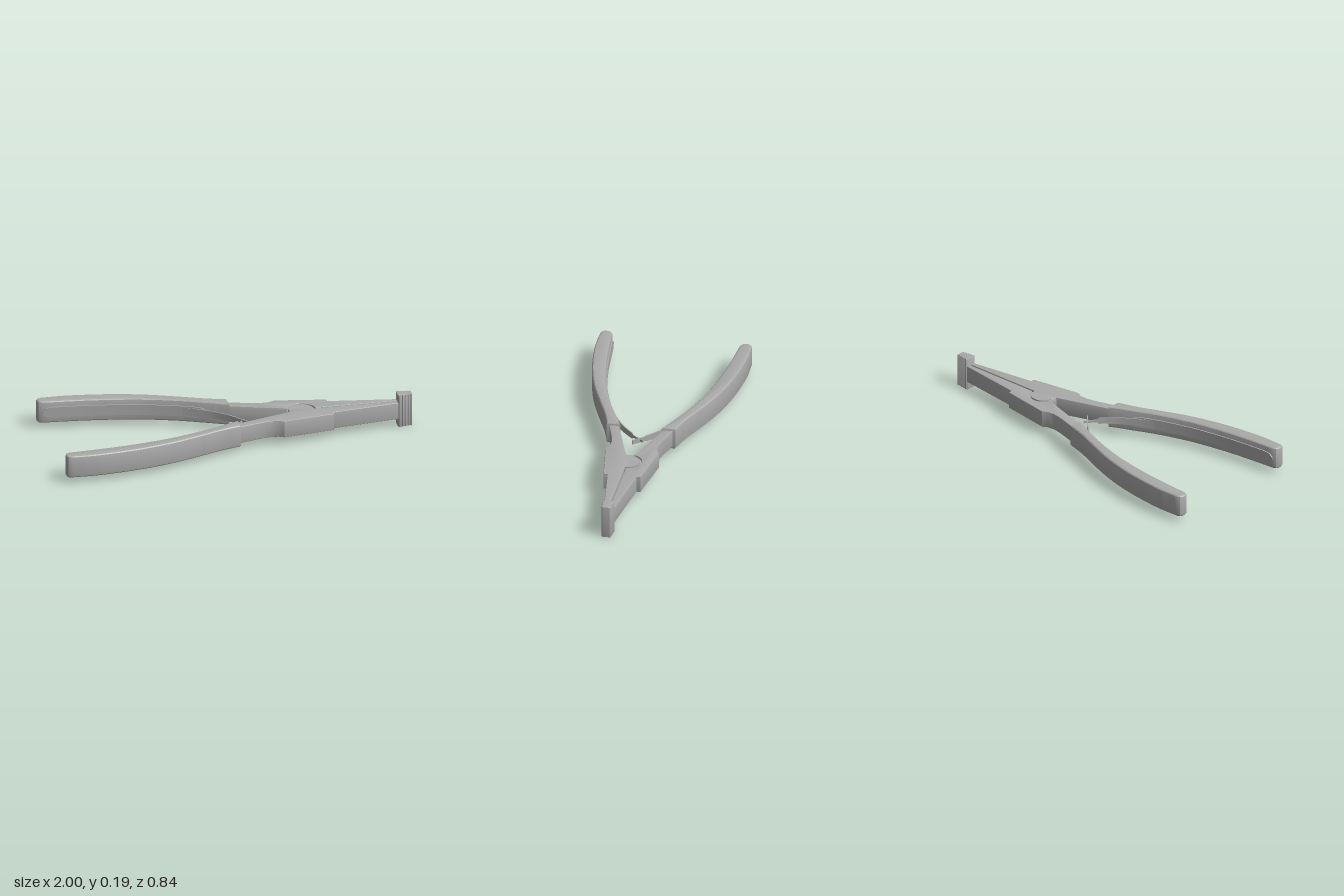
import * as THREE from 'three';
import { toCreasedNormals } from 'three/addons/utils/BufferGeometryUtils.js';

const MID = 0.0925; // height of the plane of symmetry
const PIVOT = { x: 0.39, r: 0.077 };

const vecs = (pts, s) => pts.map(([x, z]) => new THREE.Vector2(x, z * s));

// Extrude an x/z outline vertically about the mid plane, with softened edges
function slab(outline, height, bevel, crease = 0.5) {
  const g = new THREE.ExtrudeGeometry(new THREE.Shape(outline), {
    depth: height - 2 * bevel, bevelEnabled: true, bevelThickness: bevel,
    bevelSize: bevel, bevelOffset: -bevel, bevelSegments: 3,
  });
  g.translate(0, 0, bevel - height / 2);
  g.rotateX(Math.PI / 2);
  g.translate(0, MID, 0);
  return toCreasedNormals(g, crease);
}

// Thin strip that follows an x/z curve; width(u) is its vertical size
function ribbon(curve, thickness, width) {
  const g = new THREE.BoxGeometry(1, 1, 1, 48, 1, 1);
  const p = g.attributes.position;
  for (let i = 0; i < p.count; i++) {
    const u = p.getX(i) + 0.5;
    const c = curve.getPointAt(u), t = curve.getTangentAt(u);
    const off = p.getZ(i) * thickness;
    p.setXYZ(i, c.x - t.y * off, MID + p.getY(i) * width(u), c.y + t.x * off);
  }
  return toCreasedNormals(g, 0.5);
}

// Outlines for one side, given with z positive outwards
const gripOuter = [[-0.975, 0.42], [-0.82, 0.42], [-0.6, 0.392], [-0.4, 0.343],
  [-0.22, 0.275], [-0.1, 0.226], [0.015, 0.19]];
const gripInner = [[0.015, 0.113], [-0.1, 0.163], [-0.25, 0.225], [-0.45, 0.285],
  [-0.7, 0.328], [-0.975, 0.352]];
const jawOuter = [[-0.06, 0.195], [0.015, 0.175], [0.15, 0.136], [0.19, 0.129], [0.235, 0.132],
  [0.265, 0.148], [0.55, 0.102], [0.55, 0.08], [0.93, 0.027], [0.93, 0.004]];
const leafPath = [[-0.42, 0.277], [-0.25, 0.222], [-0.1, 0.146], [0.0, 0.068]];

function gripOutline(s) {
  const outer = new THREE.SplineCurve(vecs(gripOuter, s)).getPoints(28);
  const inner = new THREE.SplineCurve(vecs(gripInner, s)).getPoints(28);
  const end = vecs([[-0.993, 0.361], [-1, 0.377], [-1, 0.398], [-0.992, 0.413]], s);
  return [...outer, ...inner, ...end];
}

function jawOutline(s, notched) {
  const pts = [...jawOuter];
  if (notched) { // round cut-out around the hinge
    for (let i = 0; i <= 20; i++) {
      const a = 0.06 + (Math.PI - 0.32) * i / 20;
      pts.push([PIVOT.x + PIVOT.r * Math.cos(a), PIVOT.r * Math.sin(a)]);
    }
  } else {
    pts.push([0.46, 0.004], [0.44, -0.004], [0.318, -0.015]);
  }
  pts.push([0.318, 0.024], [-0.06, 0.145]);
  return vecs(pts, s);
}

export function createModel() {
  const root = new THREE.Group();
  const steel = new THREE.MeshStandardMaterial({ color: 0xaaaaaa });
  steel.name = 'grey steel';
  const add = (name, geometry) => {
    const m = new THREE.Mesh(geometry, steel);
    m.name = name;
    root.add(m);
    return m;
  };

  for (const s of [1, -1]) {
    const side = s > 0 ? 'front' : 'back';
    add(side + 'Grip', slab(gripOutline(s), 0.127, 0.013));
    add(side + 'Jaw', slab(jawOutline(s, s < 0), 0.096, 0.004));

    // Raised strip with rounded ends along the inside of the grip
    const inner = new THREE.SplineCurve(vecs(gripInner.slice(1), s));
    add(side + 'GripStrip', ribbon(inner, 0.014,
      u => 0.06 * Math.sqrt(Math.max(0.05, 1 - Math.pow(Math.abs(2 * u - 1), 24)))));

    // Leaf spring, crossing its partner behind the hinge
    const tip = s > 0 ? [[0.075, -0.022]] : [[0.095, -0.033]];
    const leaf = new THREE.SplineCurve(vecs([...leafPath, ...tip], s));
    add(side + 'SpringLeaf', ribbon(leaf, 0.006,
      u => u > 0.86 ? (s > 0 ? 0.014 : 0.026) : 0.055 - 0.025 * u));
  }

  // Hinge: raised disc inside a shallow ring groove
  const disc = add('hingeDisc', new THREE.CylinderGeometry(0.066, 0.066, 0.095, 40));
  disc.position.set(PIVOT.x, MID, 0);
  const floor = add('hingeGrooveFloor', new THREE.CylinderGeometry(0.079, 0.079, 0.075, 40));
  floor.position.set(PIVOT.x, MID, 0);

  // Tall tip block with vertical ridges on both sides
  const ridge = [[0.92, 0.024], [0.926, 0.033]];
  for (let i = 0; i < 4; i++) {
    const x = 0.934 + i * 0.016, z = 0.033 - i * 0.002;
    ridge.push([x, z], [x + 0.004, z - 0.005], [x + 0.009, z - 0.005], [x + 0.012, z - 0.001]);
  }
  ridge.push([0.998, 0.024], [1, 0.02]);
  const tipOutline = [...vecs(ridge, 1), ...vecs(ridge, -1).reverse()];
  add('tipBlock', slab(tipOutline, 0.185, 0.002, 0.3));

  return root;
}
